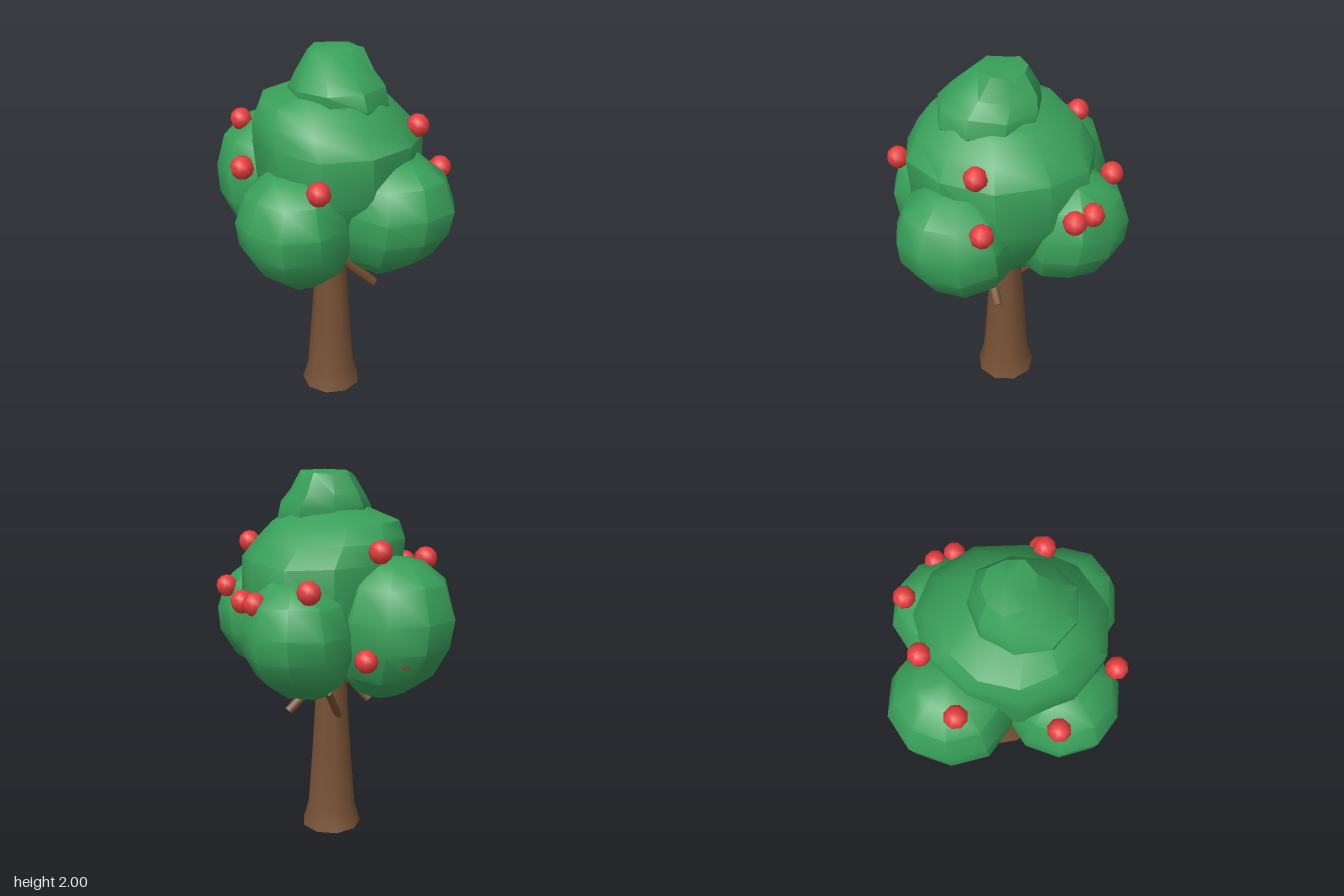
import * as THREE from 'three';
import { toCreasedNormals } from 'three/addons/utils/BufferGeometryUtils.js';

const leaf = new THREE.MeshStandardMaterial({ color: 0x389f59 });
leaf.name = 'leafGreen';
const bark = new THREE.MeshStandardMaterial({ color: 0x775135, side: THREE.DoubleSide });
bark.name = 'barkBrown';
const red = new THREE.MeshStandardMaterial({ color: 0xe53c3c });
red.name = 'fruitRed';

function add(parent, name, geometry, material) {
  const mesh = new THREE.Mesh(geometry, material);
  mesh.name = name;
  parent.add(mesh);
  return mesh;
}

// Closed clump through level rings [y, centreX, centreZ, radiusX, radiusZ], bottom to top,
// with soft waves that push the leaves in and out
function clump(rings, sides, amount, seed) {
  const g = new THREE.LatheGeometry(rings.map(([y]) => new THREE.Vector2(1, y)), sides);
  const p = g.attributes.position;
  for (let i = 0; i < p.count; i++) {
    const [y, cx, cz, rx, rz] = rings[i % rings.length];
    const x = p.getX(i), z = p.getZ(i);
    const wave = Math.sin(x * 4 + y * 9 + seed) * Math.cos(z * 3 - y * 6 - seed * 2);
    const k = 1 + amount * wave;
    const lift = rx > 0 ? 0.35 * amount * Math.sin(x * 5 + z * 4 + seed) : 0;
    p.setXYZ(i, cx + x * rx * k, y + lift, cz + z * rz * k);
  }
  return toCreasedNormals(g, 0.7);
}

// Straight tapering limb between two points
function limb(from, to, r0, r1) {
  const a = new THREE.Vector3(...from), b = new THREE.Vector3(...to);
  const dir = b.clone().sub(a);
  const g = new THREE.CylinderGeometry(r1, r0, dir.length(), 7);
  g.applyQuaternion(new THREE.Quaternion().setFromUnitVectors(new THREE.Vector3(0, 1, 0), dir.normalize()));
  g.translate((a.x + b.x) / 2, (a.y + b.y) / 2, (a.z + b.z) / 2);
  return toCreasedNormals(g, 0.95);
}

export function createModel() {
  const tree = new THREE.Group();
  tree.name = 'fruitTree';

  // Flared hollow trunk, open at the foot
  const trunk = [[0.168, 0], [0.136, 0.11], [0.114, 0.4], [0.094, 0.7], [0.082, 1.1]];
  add(tree, 'trunk', toCreasedNormals(
    new THREE.LatheGeometry(trunk.map(([r, y]) => new THREE.Vector2(r, y)), 9), 0.75), bark);

  // Short branches below the crown
  const branches = [
    [[0.02, 0.9, 0.12], [0.24, 0.665, -0.01], 0.027, 0.026],
    [[-0.08, 0.9, 0.0], [-0.215, 0.765, -0.01], 0.026, 0.026],
    [[-0.05, 0.65, -0.03], [-0.02, 0.865, -0.235], 0.024, 0.02],
  ];
  branches.forEach((b, i) => add(tree, 'branch' + (i + 1), limb(...b), bark));

  const crown = new THREE.Group();
  crown.name = 'crown';
  tree.add(crown);

  // Large central clump, drifting to one side as it narrows
  add(crown, 'middleFoliage', clump([
    [0.87, 0.02, 0.0, 0, 0],
    [0.92, 0.03, 0.0, 0.22, 0.24],
    [1.12, 0.04, 0.01, 0.38, 0.4],
    [1.3, 0.045, 0.01, 0.43, 0.485],
    [1.55, 0.04, 0.02, 0.435, 0.49],
    [1.65, -0.005, 0.03, 0.395, 0.425],
    [1.735, -0.025, 0.045, 0.335, 0.34],
    [1.8, 0.01, 0.06, 0.2, 0.22],
    [1.82, 0.03, 0.05, 0, 0],
  ], 11, 0.02, 1), leaf);

  // Smaller clump on top, leaning back to a narrow tip
  add(crown, 'topFoliage', clump([
    [1.6, 0.05, 0.07, 0, 0],
    [1.62, 0.05, 0.07, 0.2, 0.2],
    [1.72, 0.055, 0.075, 0.26, 0.26],
    [1.81, 0.04, 0.07, 0.25, 0.265],
    [1.88, 0.025, 0.04, 0.2, 0.22],
    [1.98, 0.025, 0.01, 0.14, 0.125],
    [2.0, 0.03, -0.02, 0, 0],
  ], 9, 0.03, 2.4), leaf);

  // Four rounded clumps around the sides, tucked in towards the trunk below: name, centre, radii, seed
  const lobe = [[0, -1], [0.42, -0.93], [0.81, -0.62], [0.99, -0.2], [1, 0.2], [0.83, 0.66], [0.46, 0.92], [0, 0.98]];
  const sides = [
    ['frontFoliage', [-0.122, 1.125, 0.36], [0.295, 0.325, 0.3], 0.5],
    ['leftFoliage', [0.36, 1.175, 0.18], [0.315, 0.325, 0.305], 1.7],
    ['rightFoliage', [-0.352, 1.215, -0.165], [0.322, 0.375, 0.325], 3.1],
    ['backFoliage', [0.112, 1.18, -0.375], [0.285, 0.315, 0.287], 4.4],
  ];
  for (const [name, [x, y, z], [rx, ry, rz], seed] of sides) {
    const rings = lobe.map(([r, h]) => {
      const tuck = 1 + 0.2 * Math.min(h, 0);
      return [y + h * ry, x * tuck, z * tuck, r * rx, r * rz];
    });
    add(crown, name, clump(rings, 10, 0.025, seed), leaf);
  }

  // Round fruit resting on the leaves
  const fruits = new THREE.Group();
  fruits.name = 'fruits';
  tree.add(fruits);
  const spots = [
    [0.04, 1.42, 0.57], [-0.37, 1.465, 0.405], [-0.5, 1.56, -0.065], [-0.29, 1.625, -0.325],
    [0.45, 1.61, 0.045], [0.57, 1.375, -0.01], [0.3, 1.385, -0.495], [0.38, 1.38, -0.42],
    [0.025, 1.46, -0.55], [-0.24, 1.11, -0.46], [-0.42, 1.1, -0.37],
  ];
  const ball = new THREE.SphereGeometry(0.06, 8, 6);
  spots.forEach((s, i) => add(fruits, 'fruit' + (i + 1), ball, red).position.set(...s));

  return tree;
}
